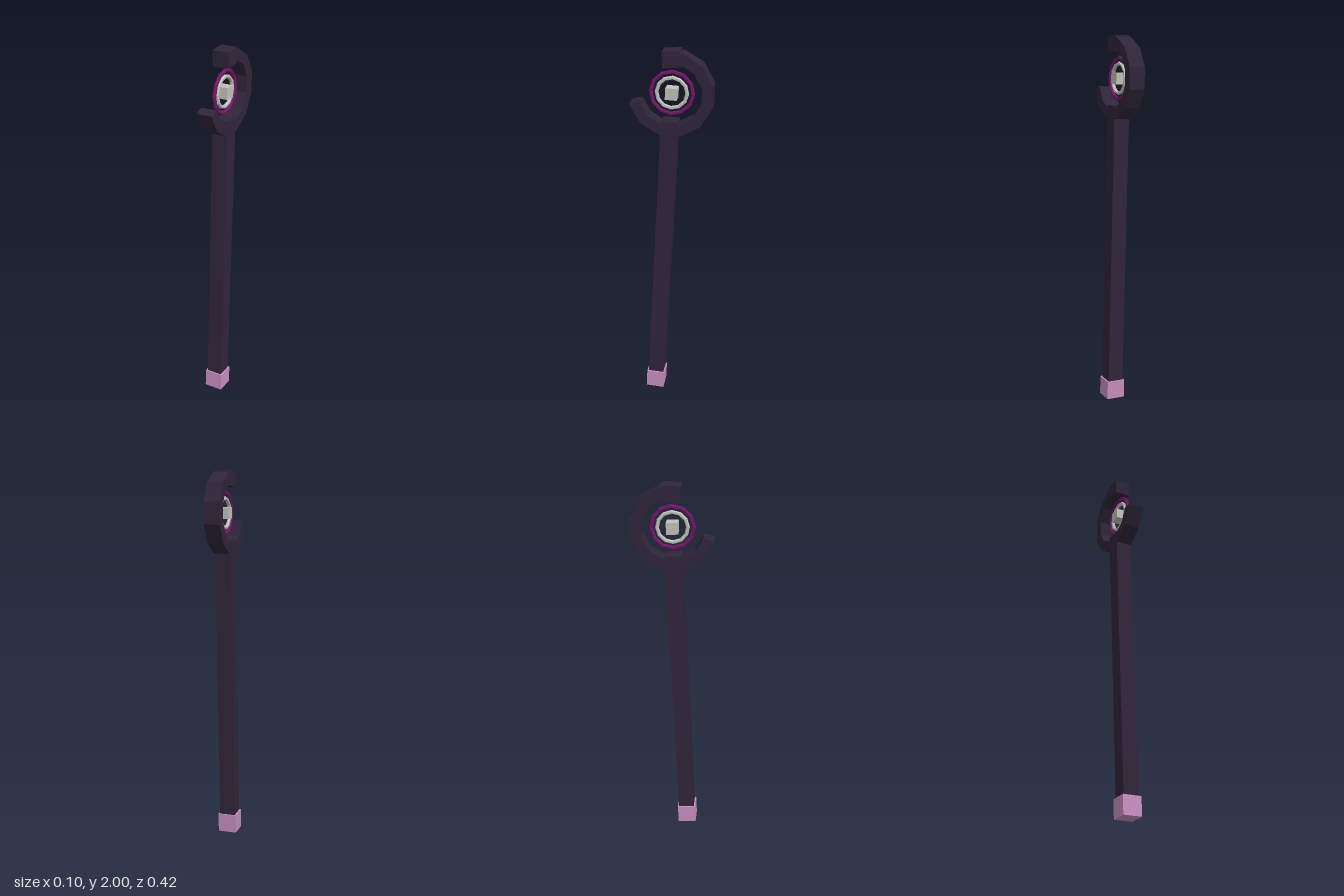
import * as THREE from 'three';

const mat = (name, color) => {
  const m = new THREE.MeshStandardMaterial({ color, flatShading: true });
  m.name = name;
  return m;
};

export function createModel() {
  const dark = mat('darkPlum', 0x30253a);
  const pink = mat('pink', 0xc98fc2);
  const purple = mat('purple', 0x75146c);
  const grey = mat('paleGrey', 0xc2c4b8);

  const group = new THREE.Group();
  group.name = 'staff';
  const add = (name, geo, material, y = 0, z = 0, tilt = 0) => {
    const mesh = new THREE.Mesh(geo, material);
    mesh.name = name;
    mesh.position.set(0, y, z);
    mesh.rotation.x = tilt;
    group.add(mesh);
  };

  const lean = -0.052, headY = 1.779, width = 0.086;

  // leaning pole and its foot
  add('pole', new THREE.BoxGeometry(width, 1.58, width), dark, 0.85, 0.048, lean);
  add('footCap', new THREE.BoxGeometry(0.102, 0.102, 0.1), pink, 0.0535, 0.09, lean);

  // open twelve-sided hook, angles run clockwise from the top
  const angles = [6];
  for (let a = 16; a <= 256; a += 30) angles.push(a);
  const point = (a, r) => {
    const t = THREE.MathUtils.degToRad(a);
    return new THREE.Vector2(Math.sin(t) * r, Math.cos(t) * r);
  };
  const outline = [
    ...angles.map(a => point(a, a < 16 ? 0.208 : 0.218)),
    ...angles.slice().reverse().map(a => point(a, 0.162)),
  ];
  const hook = new THREE.ExtrudeGeometry(new THREE.Shape(outline), { depth: width, bevelEnabled: false });
  hook.translate(0, 0, -width / 2).rotateY(Math.PI / 2);
  add('hook', hook, dark, headY);
  add('hookTip', new THREE.BoxGeometry(width, 0.081, 0.089), dark, 1.957, -0.002, 0.05);

  // floating rings and core
  const ring = r => new THREE.TorusGeometry(r, 0.01, 6, 12).rotateY(Math.PI / 2);
  add('outerRing', ring(0.108), purple, headY, 0, lean);
  add('innerRing', ring(0.078), grey, headY, 0, lean);
  add('core', new THREE.BoxGeometry(0.06, 0.06, 0.06), grey, headY, 0, lean);

  return group;
}
